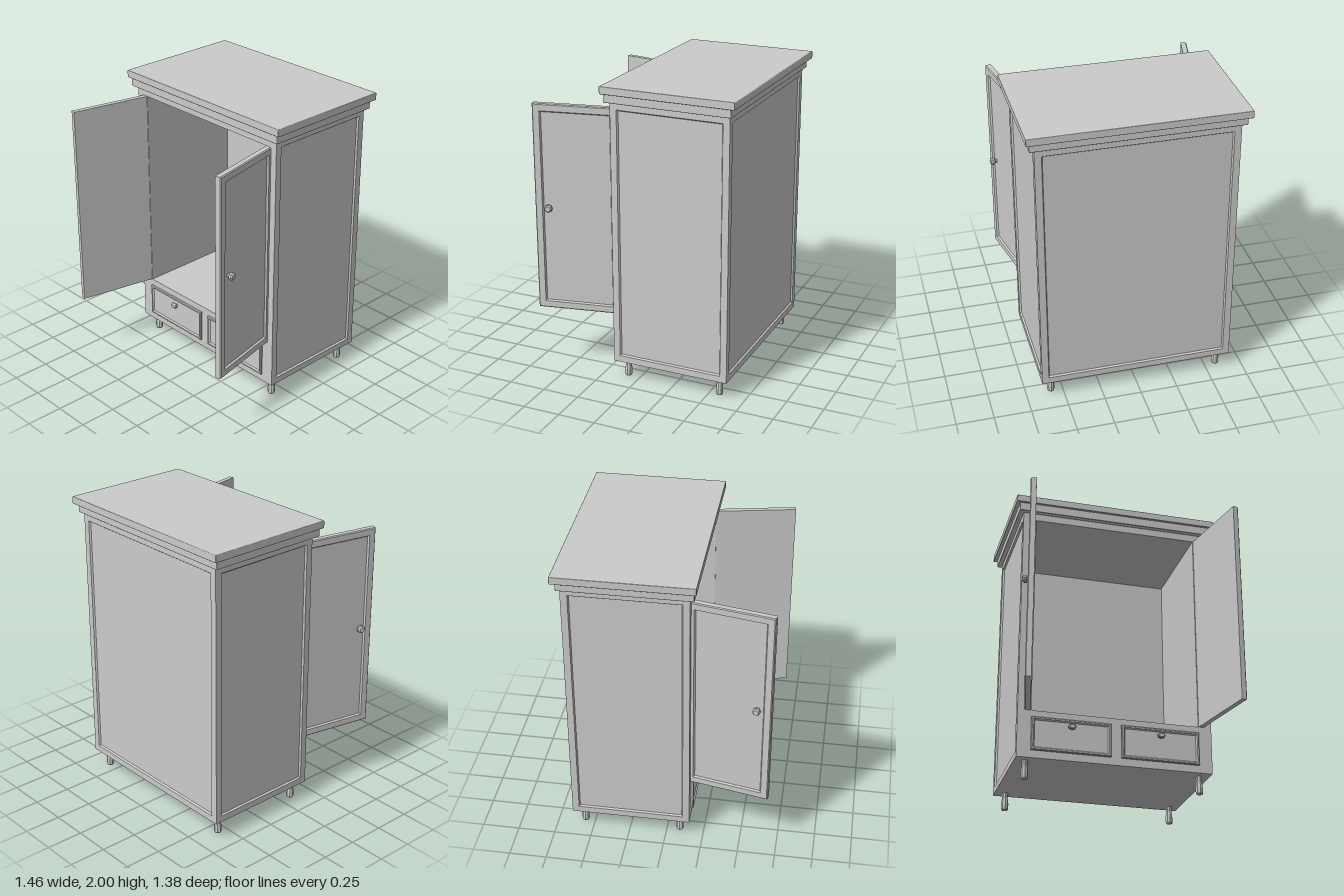
import * as THREE from 'three';
import { RoundedBoxGeometry } from 'three/addons/geometries/RoundedBoxGeometry.js';

const material = new THREE.MeshStandardMaterial({ color: 0xcccccc });
const flat = new THREE.MeshStandardMaterial({ color: 0xcccccc, flatShading: true });

function add(parent, name, geometry, x, y, z, mat = material) {
  const mesh = new THREE.Mesh(geometry, mat);
  mesh.name = name;
  mesh.position.set(x, y, z);
  parent.add(mesh);
  return mesh;
}

// Slab with a sunken field on its +z face, lofted through rectangular loops.
// Back lies at z = 0, front frame at z = t.
function framedPanel(w, h, t, border, recess, chamfer) {
  const loop = (inset, z) => {
    const a = w / 2 - inset, b = h / 2 - inset;
    return [[-a, -b, z], [a, -b, z], [a, b, z], [-a, b, z]];
  };
  const loops = [loop(0, 0)];
  loops.push(loop(0, t - chamfer));
  if (chamfer > 0) loops.push(loop(chamfer, t));
  loops.push(loop(border - 0.008, t), loop(border, t - recess));
  const p = [];
  const quad = (a, b, c, d) => p.push(...a, ...b, ...c, ...a, ...c, ...d);
  for (let i = 0; i < loops.length - 1; i++) {
    for (let j = 0; j < 4; j++) {
      const k = (j + 1) % 4;
      quad(loops[i][j], loops[i][k], loops[i + 1][k], loops[i + 1][j]);
    }
  }
  quad(...loops[0].slice().reverse());
  quad(...loops[loops.length - 1]);
  const g = new THREE.BufferGeometry();
  g.setAttribute('position', new THREE.Float32BufferAttribute(p, 3));
  g.computeVertexNormals();
  return g;
}

const lathe = (points, sides) =>
  new THREE.LatheGeometry(points.map(([r, y]) => new THREE.Vector2(r, y)), sides);

// Faceted knob pointing along +z
const knobGeometry = lathe(
  [[0, 0], [0.013, 0], [0.013, 0.014], [0.026, 0.02], [0.026, 0.036], [0.018, 0.045], [0, 0.045]], 8
).rotateX(Math.PI / 2);

// Turned foot, swelling towards the floor
const legGeometry = lathe(
  [[0, 0], [0.021, 0], [0.025, 0.01], [0.025, 0.045], [0.019, 0.085], [0.021, 0.125], [0, 0.125]], 8
);

export function createModel() {
  const model = new THREE.Group();
  model.name = 'wardrobe';

  // Carcass: base, ceiling and inner lining
  const carcass = new THREE.Group();
  carcass.name = 'carcass';
  model.add(carcass);
  add(carcass, 'base', new THREE.BoxGeometry(1.22, 0.32, 0.77), 0, 0.28, -0.225);
  add(carcass, 'topRail', new THREE.BoxGeometry(1.22, 0.05, 0.77), 0, 1.865, -0.225);
  add(carcass, 'backLining', new THREE.BoxGeometry(1.22, 1.4, 0.03), 0, 1.14, -0.595);
  for (const s of [1, -1]) {
    add(carcass, 'sideLining', new THREE.BoxGeometry(0.05, 1.4, 0.77), s * 0.585, 1.14, -0.225);
    // Framed outer sides
    const side = add(carcass, 'sidePanel', framedPanel(0.8, 1.77, 0.045, 0.052, 0.012, 0),
      s * 0.605, 1.005, -0.24);
    side.rotation.y = s * Math.PI / 2;
  }
  const back = add(carcass, 'backPanel', framedPanel(1.3, 1.77, 0.045, 0.052, 0.012, 0), 0, 1.005, -0.595);
  back.rotation.y = Math.PI;

  // Stepped cornice
  add(model, 'corniceLower', new RoundedBoxGeometry(1.365, 0.06, 0.85, 1, 0.005), 0, 1.922, -0.235);
  add(model, 'corniceTop', new RoundedBoxGeometry(1.414, 0.05, 0.895, 1, 0.005), 0, 1.975, -0.2425);

  for (const s of [1, -1]) {
    // Open door, swung about its outer edge
    const door = new THREE.Group();
    door.name = s > 0 ? 'leftDoor' : 'rightDoor';
    door.position.set(s * 0.56, 1.14, 0.14);
    door.rotation.y = s * THREE.MathUtils.degToRad(101.5);
    model.add(door);
    add(door, 'doorPanel', framedPanel(0.56, 1.4, 0.04, 0.055, 0.012, 0.006), -s * 0.28, 0, 0);
    add(door, 'doorKnob', knobGeometry, -s * 0.467, 0.007, 0.028, flat);

    // Drawer front and flattened knob
    const drawer = new THREE.Group();
    drawer.name = s > 0 ? 'leftDrawer' : 'rightDrawer';
    drawer.position.set(s * 0.297, 0.283, 0.15);
    model.add(drawer);
    add(drawer, 'drawerFront', framedPanel(0.525, 0.225, 0.026, 0.022, 0.01, 0.005), 0, 0, 0);
    const knob = add(drawer, 'drawerKnob', knobGeometry, 0, 0.06, 0.012, flat);
    knob.scale.set(1, 0.7, 0.85);

    // Feet
    for (const z of [0.088, -0.567]) add(model, 'leg', legGeometry, s * 0.58, 0, z, flat);
  }
  return model;
}
